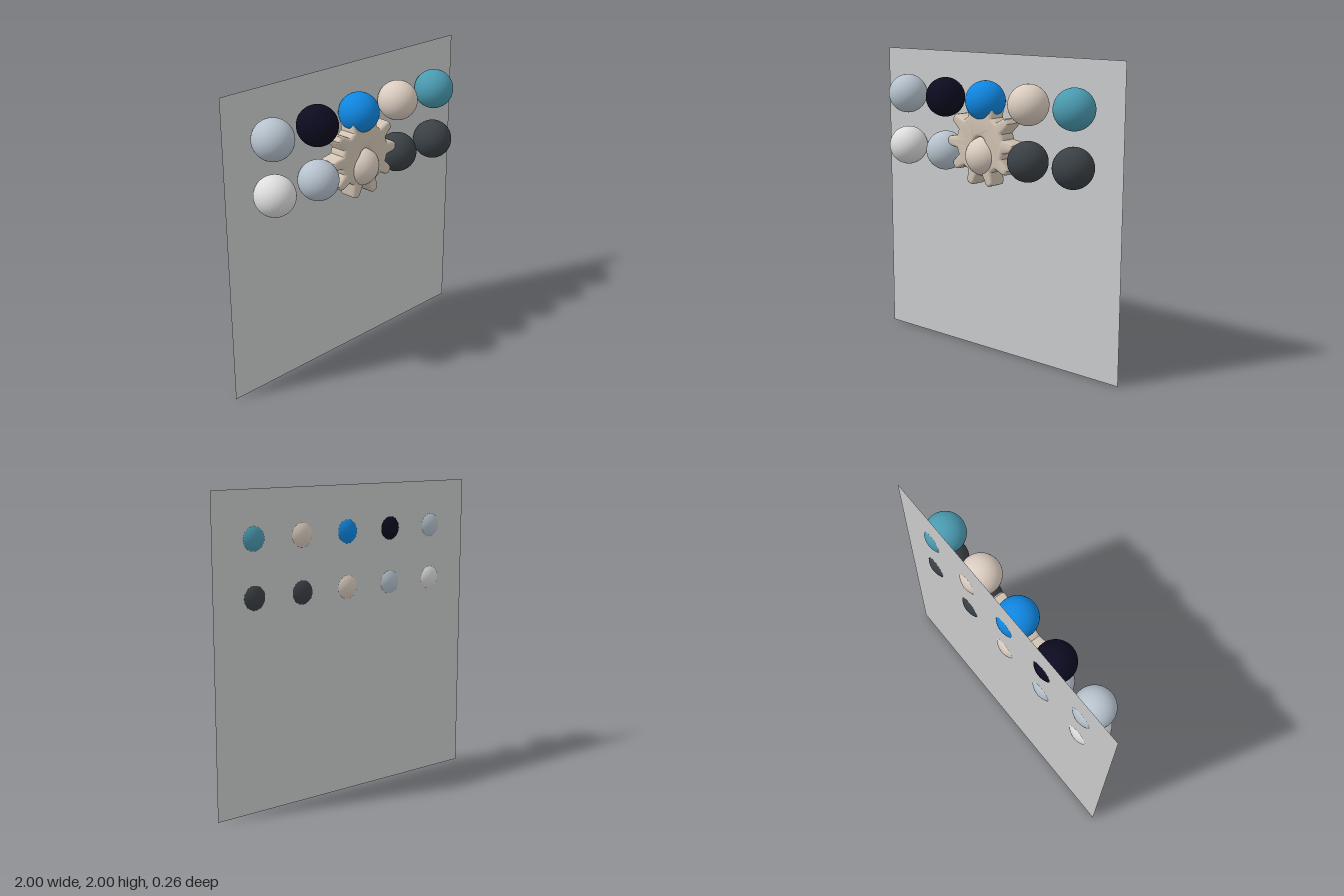
import * as THREE from 'three';
import { toCreasedNormals } from 'three/addons/utils/BufferGeometryUtils.js';

const mat = (name, color) => {
  const m = new THREE.MeshStandardMaterial({ color });
  m.name = name;
  return m;
};

// Toothed wheel with rounded edges and a central hole
function gearGeometry(teeth, body, tip, thickness, bevel) {
  const pts = [];
  const pitch = (Math.PI * 2) / teeth;
  const polar = (r, a) => pts.push(new THREE.Vector2(r * Math.cos(a), r * Math.sin(a)));
  for (let i = 0; i < teeth; i++) {
    const a = i * pitch;
    polar(body + 0.012, a - 0.115);
    polar(tip - 0.006, a - 0.05);
    polar(tip, a - 0.03);
    polar(tip, a + 0.03);
    polar(tip - 0.006, a + 0.05);
    polar(body + 0.012, a + 0.115);
    // arc between this tooth and the next
    for (let k = 0; k <= 4; k++) polar(body, a + 0.17 + (pitch - 0.34) * (k / 4));
  }
  const shape = new THREE.Shape(pts);
  const hole = new THREE.Path();
  hole.absarc(0, 0, 0.07, 0, Math.PI * 2, true);
  shape.holes.push(hole);
  const depth = thickness - 2 * bevel;
  const geo = new THREE.ExtrudeGeometry(shape, {
    depth, bevelEnabled: true, bevelSize: bevel, bevelThickness: bevel, bevelSegments: 4, curveSegments: 24,
  });
  geo.translate(0, 0, -depth / 2);
  return toCreasedNormals(geo, 0.7);
}

export function createModel() {
  const group = new THREE.Group();
  const silver = mat('silver blue', 0xb6c2cd);
  const navy = mat('dark navy', 0x0c0b20);
  const blue = mat('bright blue', 0x0f86e0);
  const beige = mat('beige', 0xdaccbf);
  const teal = mat('teal', 0x4a9ab0);
  const white = mat('off white', 0xdddddd);
  const charcoal = mat('charcoal', 0x3a4045);
  const tan = mat('tan', 0xd2c4b4);
  const grey = mat('wall grey', 0xcacbcc);
  grey.side = THREE.DoubleSide;

  const add = (name, geo, material, x, y, z) => {
    const mesh = new THREE.Mesh(geo, material);
    mesh.name = name;
    mesh.position.set(x, y, z);
    group.add(mesh);
  };

  // Back wall, which the balls just poke through
  add('backWall', new THREE.PlaneGeometry(2, 2), grey, 0, 1, -0.106);

  // Two rows of balls
  const ball = new THREE.SphereGeometry(0.13, 64, 32);
  const rows = [
    { name: 'upperBall', y: 1.705, mats: [silver, navy, blue, beige, teal] },
    { name: 'lowerBall', y: 1.35, mats: [white, silver, beige, charcoal, charcoal] },
  ];
  for (const row of rows) {
    row.mats.forEach((m, i) => add(row.name + (i + 1), ball, m, (i - 2) * 0.354, row.y, 0));
  }

  // Gear around the middle ball
  add('gear', gearGeometry(10, 0.18, 0.258, 0.132, 0.02), tan, 0, 1.43, 0);
  return group;
}
